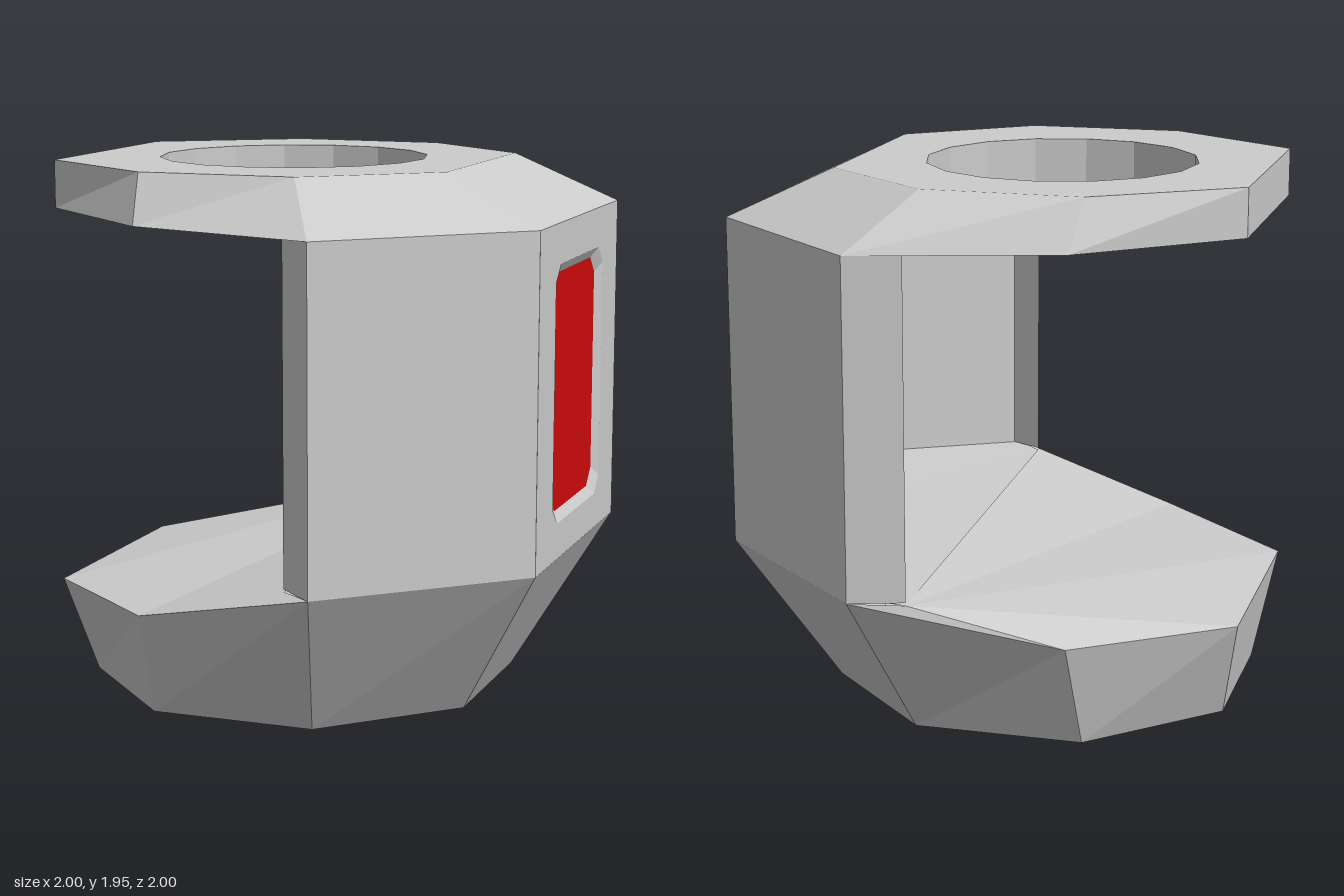
import * as THREE from 'three';

const grey = () => new THREE.MeshStandardMaterial({ color: 0xcccccc, side: THREE.DoubleSide });
const swap = ([x, y, z]) => [z, y, x]; // mirror across the diagonal plane x = z

// Half outline [x, y, z] completed by its mirror, anticlockwise from above
const ring = (half) => [...half, ...half.slice().reverse().map(swap)];

// Flat-faced geometry from polygons
function faces(polys) {
  const pos = [];
  for (const p of polys)
    for (let i = 1; i < p.length - 1; i++) pos.push(...p[0], ...p[i], ...p[i + 1]);
  const g = new THREE.BufferGeometry();
  g.setAttribute('position', new THREE.Float32BufferAttribute(pos, 3));
  g.computeVertexNormals();
  return g;
}

// Quads joining two closed rings
const band = (a, b) => a.map((p, i) => {
  const j = (i + 1) % a.length;
  return [p, a[j], b[j], b[i]];
});

function add(parent, name, geometry, material = grey()) {
  const m = new THREE.Mesh(geometry, material);
  m.name = name;
  parent.add(m);
  return m;
}

// Shape on the ground plan (shape y = -z)
const plan = (pts) => new THREE.Shape(pts.map(([x, , z]) => new THREE.Vector2(x, -z)));

// Upright rectangle with cut corners, for the window
const windowPoints = (grow) => {
  const w = 0.283 + grow, lo = 0.735 - grow, hi = 1.59 + grow, c = 0.06;
  return [[-w + c, lo], [w - c, lo], [w, lo + c], [w, hi - c],
    [w - c, hi], [-w + c, hi], [-w, hi - c], [-w, lo + c]];
};
const shape2 = (pts) => new THREE.Shape(pts.map(p => new THREE.Vector2(...p)));

export function createModel() {
  const model = new THREE.Group();
  const low = 0.57, high = 1.77, top = 1.945;

  // Inner ends of the side walls, where the opening begins
  const endR = [0.78, 0.56, -0.68], endL = [-0.6, 0.56, 0.78];

  // Tapered base with sloping floor
  const foot = ring([[0.61, 0, 0.18], [0.61, 0, -0.42], [0.18, 0, -0.85], [-0.42, 0, -0.85]]);
  const rim = ring([[1, low, 0.25], [0.96, low, -0.59], [0.31, 0.4, -0.95], [-0.37, 0.38, -1]]);
  add(model, 'base', faces([...band(foot, rim), foot.slice().reverse()]));
  const inA = [0.95, 0.62, 0.23], inB = [0.91, low, -0.56];
  add(model, 'floor', faces([
    [endR, ...rim.slice(1, 7), endL],
    [inA, inB, endR, endL, swap(inB), swap(inA)],
  ]));

  // Side walls, each turning in a little at the opening
  const wall = (end, mirror) => {
    let pts = [[1, 0, 0.25], [0.96, 0, -0.59], null, inB, inA].map(p => (p && mirror ? swap(p) : p));
    pts[2] = end;
    const g = new THREE.ExtrudeGeometry(plan(pts), { depth: high - low, bevelEnabled: false });
    g.rotateX(-Math.PI / 2).translate(0, low, 0);
    return g;
  };
  add(model, 'rightWall', wall(endR, false));
  add(model, 'leftWall', wall(endL, true));

  // Diagonal front wall with its window
  const front = new THREE.Group();
  front.name = 'frontWall';
  front.rotation.y = Math.PI / 4;
  const panel = shape2([[-0.53, low], [0.53, low], [0.53, high], [-0.53, high]]);
  panel.holes.push(shape2(windowPoints(0.035)));
  add(front, 'frontPanel', new THREE.ExtrudeGeometry(panel, { depth: 0.05, bevelEnabled: false }).translate(0, 0, 0.834));
  const at = (grow, z) => windowPoints(grow).map(([x, y]) => [x, y, z]);
  add(front, 'windowBevel', faces(band(at(0.035, 0.884), at(0, 0.862))));
  add(front, 'windowPane',
    new THREE.ExtrudeGeometry(shape2(windowPoints(0.03)), { depth: 0.024, bevelEnabled: false }).translate(0, 0, 0.837),
    new THREE.MeshStandardMaterial({ color: 0xcc0a0a }));
  model.add(front);

  // Top cover: sloping front, overhanging collar and round hole
  const under = ring([[1, high, 0.25], [0.96, high, -0.59], [0.31, high, -0.95], [-0.37, high, -1]]);
  const crown = ring([[0.66, top, 0.07], [0.61, top, -0.48], [0.21, top, -0.89], [-0.37, top, -1]]);
  add(model, 'coverSides', faces(band(under, crown)));
  const circle = (y) => Array.from({ length: 16 }, (_, i) => {
    const a = i * Math.PI / 8 + 0.06;
    return [-0.14 + 0.495 * Math.cos(a), y, -0.165 - 0.495 * Math.sin(a)];
  });
  const plate = (pts, y) => {
    const s = plan(pts);
    s.holes.push(plan(circle(0)));
    return new THREE.ShapeGeometry(s).rotateX(-Math.PI / 2).translate(0, y, 0);
  };
  add(model, 'coverTop', plate(crown, top));
  add(model, 'coverUnderside', plate(under, high));
  add(model, 'holeWall', faces(band(circle(top), circle(high))));

  return model;
}
